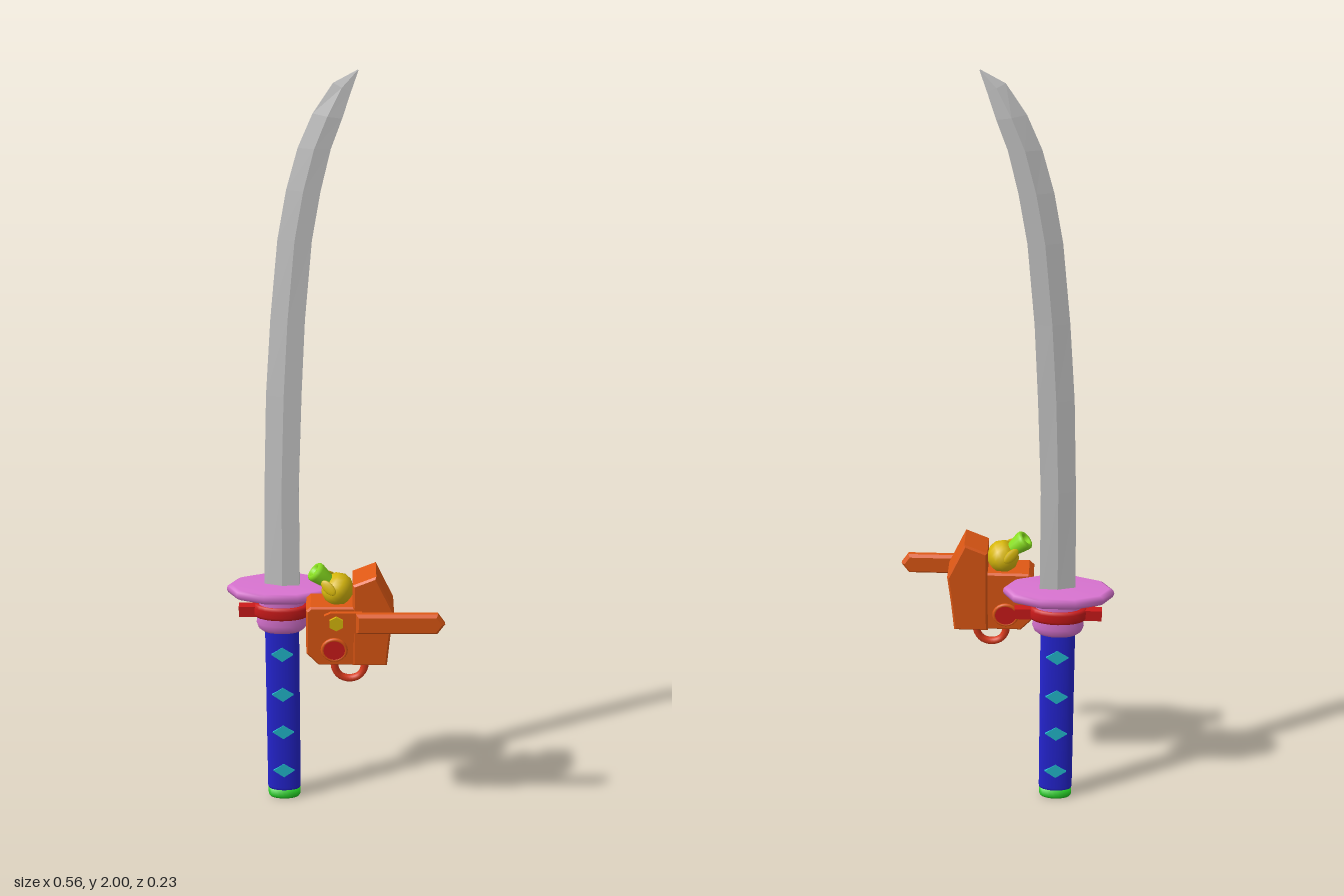
import * as THREE from 'three';

const BLUE = 0x2424d0, PINK = 0xd873d0, RED = 0xcc1a1a, ORANGE = 0xdf5814;
const YELLOW = 0xd8b80c, LIME = 0x8ae020, GREEN = 0x22cc22, CYAN = 0x22b8cc;
const SX = -0.138, SZ = -0.052; // sword axis

function add(group, name, geometry, color = 0xcccccc, flat = false) {
  const mesh = new THREE.Mesh(geometry, new THREE.MeshStandardMaterial({ color, flatShading: flat }));
  mesh.name = name;
  group.add(mesh);
  return mesh;
}

// Turned profile squashed into an ellipse; radii are in x, ratio gives z
function ovalLathe(profile, sides, ratio) {
  return new THREE.LatheGeometry(profile.map(([r, y]) => new THREE.Vector2(r, y)), sides)
    .rotateY(Math.PI / 2).scale(1, 1, ratio).translate(SX, 0, SZ);
}

// Polygon in the xy plane, extruded between z0 and z1 with a small bevel
function slab(points, z0, z1, bevel = 0.005) {
  const shape = new THREE.Shape(points.map(([x, y]) => new THREE.Vector2(x, y)));
  return new THREE.ExtrudeGeometry(shape, {
    depth: z1 - z0 - 2 * bevel, bevelEnabled: bevel > 0, bevelSize: bevel,
    bevelOffset: -bevel, bevelThickness: bevel, bevelSegments: 1,
  }).translate(0, 0, z0 + bevel);
}

function disc(x, y, z0, z1, r, sides = 16) {
  return new THREE.CylinderGeometry(r, r, z1 - z0, sides).rotateX(Math.PI / 2).translate(x, y, (z0 + z1) / 2);
}

// Curved blade: sharp convex edge on the left, flat spine on the right
function bladeGeometry() {
  // edge x, edge y, spine x, spine y, half thickness
  const rows = [
    [-0.182, 0.64, -0.09, 0.64, 0.013], [-0.177, 0.95, -0.09, 0.95, 0.013],
    [-0.169, 1.2, -0.081, 1.2, 0.013], [-0.155, 1.4, -0.071, 1.4, 0.013],
    [-0.135, 1.6, -0.053, 1.6, 0.013], [-0.113, 1.72, -0.032, 1.72, 0.013],
    [-0.085, 1.82, -0.008, 1.82, 0.013], [-0.05, 1.9, 0.018, 1.89, 0.012],
    [-0.003, 1.97, 0.038, 1.95, 0.006], [0.053, 2.0, 0.055, 1.998, 0.0005],
  ];
  const pos = [], idx = [], n = 5;
  for (const [ex, ey, sx, sy, t] of rows) {
    for (const [k, w] of [[0, 0], [0.5, 1], [1, 0.8], [1, -0.8], [0.5, -1]]) {
      pos.push(ex + (sx - ex) * k, ey + (sy - ey) * k, SZ + t * w);
    }
  }
  for (let i = 0; i < rows.length - 1; i++) {
    for (let j = 0; j < n; j++) {
      const a = i * n + j, b = i * n + (j + 1) % n;
      idx.push(a, b, b + n, a, b + n, a + n);
    }
  }
  const last = (rows.length - 1) * n;
  for (let j = 1; j < n - 1; j++) idx.push(0, j + 1, j, last, last + j, last + j + 1);
  const g = new THREE.BufferGeometry();
  g.setAttribute('position', new THREE.Float32BufferAttribute(pos, 3));
  g.setIndex(idx);
  return g.toNonIndexed();
}

function buildSword() {
  const sword = new THREE.Group();
  sword.name = 'sword';
  add(sword, 'blade', bladeGeometry(), 0xcccccc, true).geometry.computeVertexNormals();

  // Ten-sided guard with a rounded rim
  add(sword, 'guard', ovalLathe([[0, 0.64], [0.13, 0.64], [0.14, 0.645], [0.143, 0.655],
    [0.14, 0.664], [0.13, 0.669], [0, 0.67]], 10, 0.47), PINK);
  add(sword, 'collar', ovalLathe([[0, 0.53], [0.05, 0.53], [0.062, 0.54], [0.067, 0.555],
    [0.064, 0.575], [0.06, 0.6], [0.06, 0.625], [0.056, 0.645]], 20, 0.46), PINK);

  // Sash knotted around the collar, one tab to each side
  add(sword, 'sash', ovalLathe([[0.055, 0.575], [0.07, 0.575], [0.075, 0.583], [0.075, 0.602],
    [0.07, 0.61], [0.055, 0.61]], 20, 0.47), RED);
  for (const side of [-1, 1]) {
    add(sword, 'sashTab', new THREE.BoxGeometry(0.055, 0.03, 0.022)
      .translate(SX + side * 0.085, 0.591, SZ), RED, true);
  }

  // Hilt, pommel and the diamonds on both faces
  add(sword, 'hilt', ovalLathe([[0, 0.025], [0.043, 0.025], [0.045, 0.035], [0.045, 0.54], [0, 0.54]], 20, 0.43), BLUE);
  add(sword, 'pommel', ovalLathe([[0, 0], [0.04, 0], [0.044, 0.006], [0.044, 0.028], [0, 0.028]], 20, 0.45), GREEN);
  for (const y of [0.095, 0.22, 0.34, 0.465]) {
    for (const side of [-1, 1]) {
      const z = SZ + side * 0.0165;
      add(sword, 'diamond', slab([[SX - 0.029, y], [SX, y - 0.022], [SX + 0.029, y], [SX, y + 0.022]],
        z - 0.0045, z + 0.0045, 0), CYAN, true);
    }
  }
  return sword;
}

function buildCharm() {
  const charm = new THREE.Group();
  charm.name = 'chainsawCharm';
  // Engine body and the taller rear housing
  add(charm, 'engineBody', slab([[-0.072, 0.535], [-0.04, 0.5], [0.055, 0.5], [0.055, 0.672], [-0.06, 0.672], [-0.072, 0.66]],
    0.0, 0.079), ORANGE, true);
  add(charm, 'rearHousing', slab([[0.047, 0.5], [0.136, 0.5], [0.143, 0.58], [0.152, 0.66], [0.106, 0.76], [0.047, 0.735]],
    -0.007, 0.081), ORANGE, true);

  // Cutting bar with its mounting plate, spacer and bolt
  add(charm, 'cuttingBar', slab([[0.055, 0.612], [0.262, 0.612], [0.281, 0.64], [0.262, 0.668], [0.055, 0.668]],
    0.09, 0.114, 0.007), ORANGE, true);
  add(charm, 'barPlate', slab([[-0.026, 0.618], [-0.01, 0.61], [0.07, 0.61], [0.07, 0.668], [-0.01, 0.668], [-0.026, 0.66]],
    0.092, 0.102, 0), ORANGE, true);
  add(charm, 'barSpacer', disc(0.005, 0.64, 0.07, 0.094, 0.022), ORANGE);
  add(charm, 'barBolt', disc(0.005, 0.64, 0.1, 0.108, 0.02, 6), YELLOW, true);

  // Round covers on both faces
  for (const [z0, z1] of [[0.074, 0.087], [-0.008, 0.004]]) {
    add(charm, 'roundCover', disc(0, 0.55, z0, z1, 0.03), RED);
    add(charm, 'coverRim', new THREE.TorusGeometry(0.03, 0.005, 8, 20).translate(0, 0.55, z0 < 0 ? z0 + 0.004 : z1 - 0.004), ORANGE);
  }

  // Looped grip below
  const loop = new THREE.CatmullRomCurve3([[0.002, 0.515], [0.002, 0.47], [0.016, 0.447], [0.04, 0.439],
    [0.064, 0.447], [0.078, 0.47], [0.078, 0.515]].map(([x, y]) => new THREE.Vector3(x, y, 0.04)));
  add(charm, 'gripLoop', new THREE.TubeGeometry(loop, 24, 0.01, 8), 0xd83a1c);

  // Yellow bulb and open lime spout, tilted up to the right-hand side
  const bulb = new THREE.Group();
  bulb.name = 'bulb';
  bulb.position.set(0.008, 0.705, 0.038);
  bulb.rotation.z = 0.85;
  charm.add(bulb);
  const turned = (pts) => new THREE.LatheGeometry(pts.map(([r, y]) => new THREE.Vector2(r, y)), 16);
  add(bulb, 'bulbCup', turned([[0, -0.042], [0.026, -0.034], [0.041, -0.012], [0.042, 0.008], [0.033, 0.026], [0.02, 0.034], [0, 0.036]]), YELLOW);
  add(bulb, 'spout', turned([[0.018, 0.03], [0.022, 0.048], [0.026, 0.068], [0.026, 0.076], [0.021, 0.081],
    [0.014, 0.079], [0.011, 0.068], [0, 0.066]]), LIME);
  for (const side of [-1, 1]) {
    const leaf = add(bulb, 'bulbLeaf', new THREE.SphereGeometry(1, 10, 8).scale(0.014, 0.024, 0.005), YELLOW);
    leaf.position.set(0, 0.03, side * 0.034);
    leaf.rotation.x = side * -0.4;
  }
  return charm;
}

export function createModel() {
  const model = new THREE.Group();
  model.name = 'swordWithCharm';
  model.add(buildSword(), buildCharm());
  return model;
}
